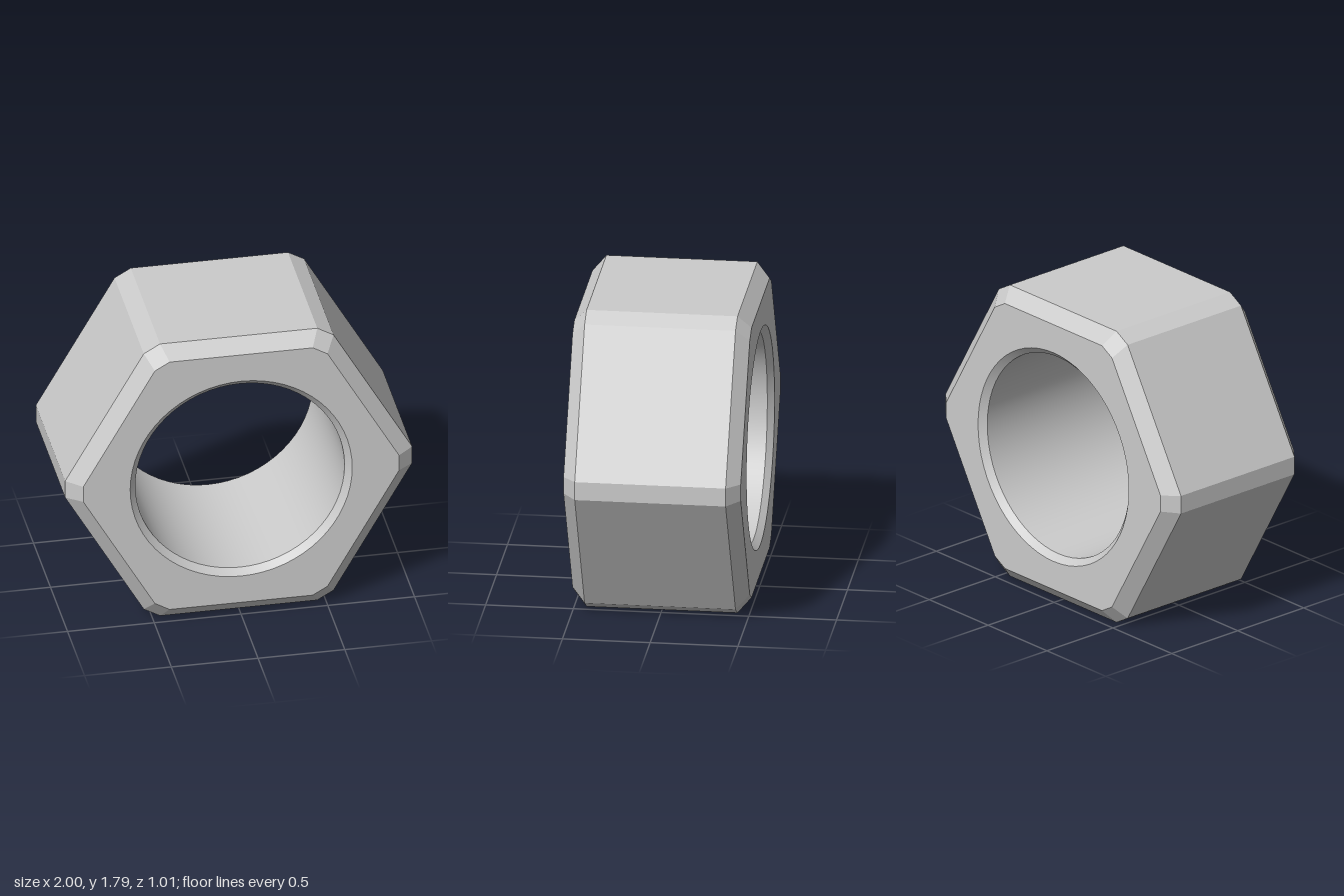
import * as THREE from 'three';
import { toCreasedNormals } from 'three/addons/utils/BufferGeometryUtils.js';

const CENTER_Y = 0.893;
const HALF = 0.505;       // half depth
const SHOULDER = 0.43;    // z where the outer chamfer begins
const FACE_SCALE = 0.91;  // end face relative to the full hexagon
const BORE = 0.603, RIM = 0.64, SEGMENTS = 64;

// hexagon with cut corners, counter-clockwise
function hexPoints(scale) {
  const points = [];
  for (let i = 0; i < 6; i++) {
    for (const y of [-0.054, 0.054]) {
      points.push(new THREE.Vector2(1, y).multiplyScalar(scale)
        .rotateAround(new THREE.Vector2(), i * Math.PI / 3));
    }
  }
  return points;
}

// flat-shaded skin between hexagon loops stacked along z
function skinGeometry(loops) {
  const positions = [];
  for (let k = 0; k < loops.length - 1; k++) {
    const [z0, s0] = loops[k], [z1, s1] = loops[k + 1];
    const lower = hexPoints(s0), upper = hexPoints(s1);
    lower.forEach((p, i) => {
      const j = (i + 1) % lower.length;
      const a = [p.x, p.y, z0], b = [lower[j].x, lower[j].y, z0];
      const c = [upper[j].x, upper[j].y, z1], d = [upper[i].x, upper[i].y, z1];
      positions.push(...a, ...b, ...c, ...a, ...c, ...d);
    });
  }
  const geometry = new THREE.BufferGeometry();
  geometry.setAttribute('position', new THREE.Float32BufferAttribute(positions, 3));
  geometry.computeVertexNormals();
  return geometry;
}

export function createModel() {
  const group = new THREE.Group();
  group.name = 'hexNut';
  const material = new THREE.MeshStandardMaterial({ color: 0xcccccc });
  const add = (name, geometry) => {
    const mesh = new THREE.Mesh(geometry, material);
    mesh.name = name;
    mesh.position.y = CENTER_Y;
    group.add(mesh);
    return mesh;
  };

  // six flats, cut corners and both outer chamfers
  add('outerBody', skinGeometry([
    [-HALF, FACE_SCALE], [-SHOULDER, 1], [SHOULDER, 1], [HALF, FACE_SCALE],
  ]));

  // end faces with the round opening
  const face = new THREE.Shape(hexPoints(FACE_SCALE));
  const rim = [];
  for (let i = 0; i < SEGMENTS; i++) {
    const a = -i / SEGMENTS * Math.PI * 2;
    rim.push(new THREE.Vector2(Math.cos(a) * RIM, Math.sin(a) * RIM));
  }
  face.holes.push(new THREE.Path(rim));
  const faceGeometry = new THREE.ShapeGeometry(face);
  add('frontFace', faceGeometry).position.z = HALF;
  const back = add('backFace', faceGeometry);
  back.position.z = -HALF;
  back.rotation.y = Math.PI;

  // smooth bore with a small chamfer at each end, facing inward
  const boreEnd = HALF - (RIM - BORE);
  const profile = [[RIM, HALF], [BORE, boreEnd], [BORE, -boreEnd], [RIM, -HALF]]
    .map(([r, y]) => new THREE.Vector2(r, y));
  const bore = new THREE.LatheGeometry(profile, SEGMENTS).rotateX(Math.PI / 2);
  add('bore', toCreasedNormals(bore, 0.5));

  return group;
}
